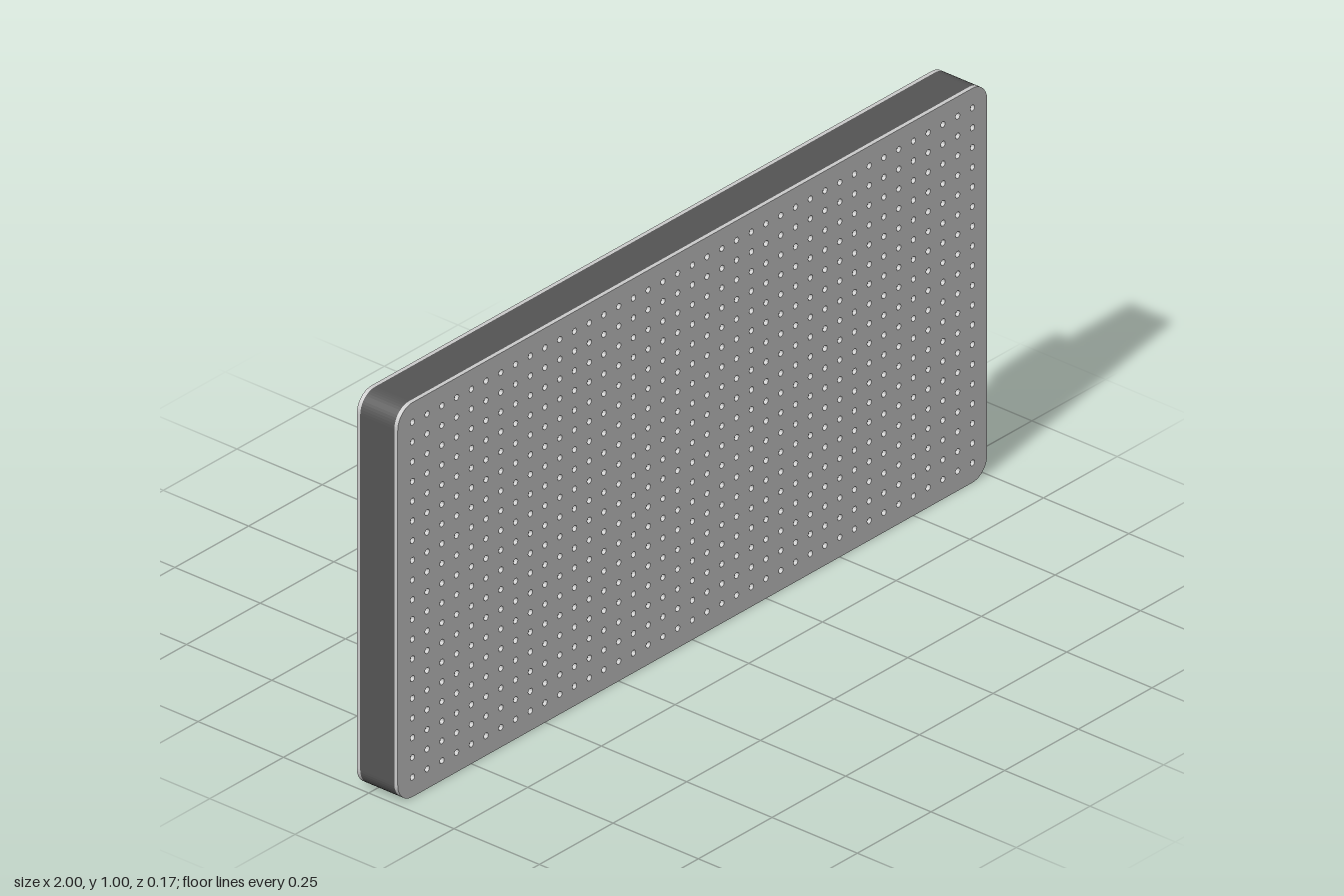
import * as THREE from 'three';

const W = 2, H = 1, CORNER = 0.05;
const PITCH = 0.05, HOLE_R = 0.0075;

// Upright rounded rectangle standing on y = 0
function panelShape() {
  const x = W / 2, r = CORNER, s = new THREE.Shape();
  s.absarc(x - r, r, r, -Math.PI / 2, 0);
  s.absarc(x - r, H - r, r, 0, Math.PI / 2);
  s.absarc(-x + r, H - r, r, Math.PI / 2, Math.PI);
  s.absarc(-x + r, r, r, Math.PI, Math.PI * 1.5);
  s.closePath();
  return s;
}

function slab(name, shape, zBack, depth, material) {
  const geometry = new THREE.ExtrudeGeometry(shape, { depth, bevelEnabled: false, curveSegments: 6 });
  const mesh = new THREE.Mesh(geometry, material);
  mesh.name = name;
  mesh.position.z = zBack;
  return mesh;
}

export function createModel() {
  const group = new THREE.Group();
  group.name = 'perforatedPanel';
  const light = new THREE.MeshStandardMaterial({ color: 0xcccccc });
  const dark = new THREE.MeshStandardMaterial({ color: 0x555555 });

  // Dark core between two thin plates
  group.add(slab('core', panelShape(), -0.025, 0.1, dark));
  group.add(slab('backPlate', panelShape(), -0.035, 0.01, light));

  // Front plate with a regular grid of small round holes
  const front = panelShape();
  for (let i = -19; i <= 19; i++) {
    for (let j = 1; j <= 19; j++) {
      const hole = new THREE.Path();
      hole.absarc(i * PITCH, j * PITCH, HOLE_R, 0, Math.PI * 2, true);
      front.holes.push(hole);
    }
  }
  group.add(slab('perforatedFrontPlate', front, 0.075, 0.01, light));

  // Four round pads on the back
  const padGeometry = new THREE.CylinderGeometry(0.1, 0.1, 0.05, 32).rotateX(Math.PI / 2);
  for (const [side, x] of [['left', 0.8], ['right', -0.8]]) {
    for (const [level, y] of [['Lower', 0.2], ['Upper', 0.8]]) {
      const pad = new THREE.Mesh(padGeometry, dark);
      pad.name = `${side}${level}Pad`;
      pad.position.set(x, y, -0.06);
      group.add(pad);
    }
  }
  return group;
}
